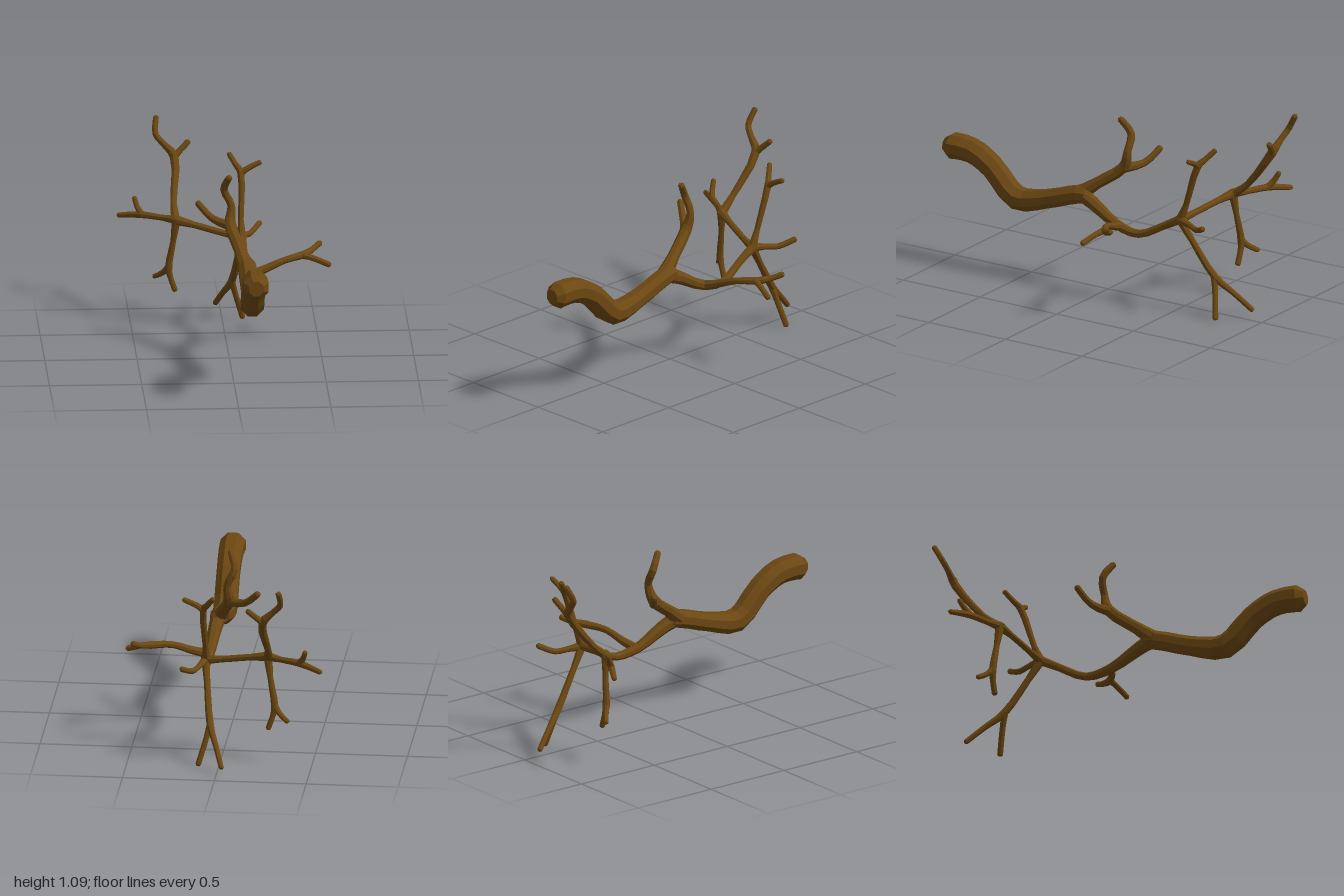
import * as THREE from 'three';

const bark = new THREE.MeshStandardMaterial({ color: 0x6b4712, flatShading: true });
const SIDES = 8;

// Tapered eight-sided limb through points [x, y, z, radius], with chamfered ends
function limb(name, points, steps = 3) {
  const curve = new THREE.CatmullRomCurve3(points.map(p => new THREE.Vector3(p[0], p[1], p[2])), false, 'centripetal');
  const spans = points.length - 1, count = spans * steps;
  const rings = [];
  for (let i = 0; i <= count; i++) {
    const k = Math.min(Math.floor(i / steps), spans - 1), f = i / steps - k;
    rings.push({
      c: curve.getPoint(i / count),
      t: curve.getTangent(i / count),
      r: THREE.MathUtils.lerp(points[k][3], points[k + 1][3], f),
    });
  }
  // Each end: a small ring at the tip, a full ring just behind it
  const first = rings[0], last = rings[rings.length - 1];
  const firstTip = { c: first.c.clone(), t: first.t, r: first.r * 0.58 };
  const lastTip = { c: last.c.clone(), t: last.t, r: last.r * 0.58 };
  first.c.addScaledVector(first.t, first.r * 0.55);
  last.c.addScaledVector(last.t, -last.r * 0.55);
  rings.unshift(firstTip);
  rings.push(lastTip);

  const pos = [], index = [];
  const normal = new THREE.Vector3(0, 1, 0);
  if (Math.abs(first.t.y) > 0.8) normal.set(1, 0, 0);
  for (const { c, t, r } of rings) {
    normal.addScaledVector(t, -normal.dot(t)).normalize();
    const side = new THREE.Vector3().crossVectors(t, normal);
    for (let j = 0; j < SIDES; j++) {
      const a = (j + 0.5) / SIDES * Math.PI * 2;
      const v = c.clone().addScaledVector(normal, Math.cos(a) * r).addScaledVector(side, Math.sin(a) * r);
      pos.push(v.x, v.y, v.z);
    }
  }
  for (let i = 0; i < rings.length - 1; i++) {
    for (let j = 0; j < SIDES; j++) {
      const a = i * SIDES + j, b = i * SIDES + (j + 1) % SIDES;
      index.push(a, b, a + SIDES, b, b + SIDES, a + SIDES);
    }
  }
  const end = (rings.length - 1) * SIDES;
  for (let j = 1; j < SIDES - 1; j++) {
    index.push(0, j + 1, j, end, end + j, end + j + 1);
  }
  const g = new THREE.BufferGeometry();
  g.setAttribute('position', new THREE.Float32BufferAttribute(pos, 3));
  g.setIndex(index);
  g.computeVertexNormals();
  const mesh = new THREE.Mesh(g, bark);
  mesh.name = name;
  return mesh;
}

export function createModel() {
  const model = new THREE.Group();
  model.name = 'branch';
  const add = (name, ...points) => model.add(limb(name, points));
  const T = 0.016; // twig radius

  // Thick S-curved trunk running on into the thinner main stem
  add('trunk', [0.097, 0.668, 0.99, 0.074], [0.097, 0.663, 0.82, 0.07], [0.097, 0.595, 0.69, 0.067],
    [0.097, 0.45, 0.53, 0.068], [0.097, 0.482, 0.33, 0.054], [0.09, 0.545, 0.13, 0.052],
    [0.09, 0.55, 0.05, 0.042]);
  add('mainStem', [0.085, 0.56, 0.14, 0.045], [0.1, 0.515, 0.03, 0.038], [0.112, 0.43, -0.13, 0.028],
    [0.12, 0.405, -0.28, 0.022], [0.1, 0.475, -0.43, 0.021], [0.095, 0.54, -0.55, 0.026]);

  // Upper fork
  add('upperBranch', [0.085, 0.545, 0.13, 0.045], [0.055, 0.62, 0.03, 0.033], [0.01, 0.725, -0.11, 0.032],
    [0.018, 0.82, -0.138, 0.021], [-0.022, 0.91, -0.135, 0.021], [0.006, 1.0, -0.078, 0.018]);
  add('upperTwig', [0.025, 0.715, -0.09, 0.029], [-0.08, 0.735, -0.18, 0.02], [-0.165, 0.815, -0.238, 0.018]);

  // Side branch on the model's left
  add('sideBranch', [0.1, 0.42, -0.14, 0.028], [0.2, 0.45, -0.17, 0.022], [0.31, 0.49, -0.2, 0.018],
    [0.42, 0.505, -0.26, 0.021], [0.47, 0.52, -0.315, T], [0.515, 0.545, -0.36, T]);
  add('sideTwig', [0.4, 0.505, -0.25, 0.02], [0.46, 0.493, -0.232, T], [0.56, 0.458, -0.2, T]);

  // Twigs fanning out of the stem's end
  add('highBranch', [0.095, 0.51, -0.525, 0.028], [0.092, 0.62, -0.57, T], [0.095, 0.86, -0.65, 0.02],
    [0.07, 0.895, -0.68, T], [0.032, 0.95, -0.725, 0.014]);
  add('highTwig', [0.088, 0.85, -0.648, 0.019], [0.13, 0.88, -0.652, T], [0.207, 0.917, -0.658, 0.014]);
  add('lowBranch', [0.097, 0.55, -0.52, 0.026], [0.08, 0.42, -0.6, 0.018], [0.05, 0.225, -0.73, 0.021],
    [0.01, 0.14, -0.825, T], [-0.032, 0.045, -0.925, 0.015]);
  add('lowTwig', [0.047, 0.245, -0.72, 0.02], [0.068, 0.16, -0.742, T], [0.113, 0.004, -0.775, T]);
  add('rearTwig', [0.09, 0.53, -0.52, 0.026], [0.12, 0.52, -0.61, T], [0.15, 0.512, -0.675, T],
    [0.207, 0.55, -0.757, T]);

  // Long branch to the model's right, with three forked shoots
  add('longBranch', [0.11, 0.527, -0.53, 0.026], [0.0, 0.545, -0.56, 0.018], [-0.16, 0.58, -0.61, 0.018],
    [-0.265, 0.6, -0.645, 0.028]);
  add('outerShoot', [-0.24, 0.6, -0.635, 0.027], [-0.33, 0.6, -0.69, T], [-0.44, 0.602, -0.748, 0.019],
    [-0.565, 0.58, -0.823, 0.014]);
  add('outerTwig', [-0.43, 0.597, -0.742, 0.019], [-0.458, 0.635, -0.77, T], [-0.476, 0.69, -0.8, 0.014]);
  add('risingShoot', [-0.255, 0.585, -0.63, 0.027], [-0.265, 0.67, -0.735, 0.018], [-0.253, 0.885, -0.9, 0.025],
    [-0.31, 0.95, -0.92, 0.017], [-0.352, 1.0, -0.94, 0.017], [-0.347, 1.09, -0.99, 0.016]);
  add('risingTwig', [-0.262, 0.875, -0.895, 0.022], [-0.22, 0.915, -0.915, 0.017], [-0.17, 0.963, -0.935, T]);
  add('hangingShoot', [-0.253, 0.62, -0.64, 0.027], [-0.27, 0.48, -0.655, T], [-0.295, 0.32, -0.67, 0.021],
    [-0.285, 0.27, -0.672, T], [-0.258, 0.19, -0.67, T]);
  add('hangingTwig', [-0.29, 0.335, -0.665, 0.019], [-0.325, 0.29, -0.695, T], [-0.375, 0.255, -0.732, 0.014]);

  return model;
}
